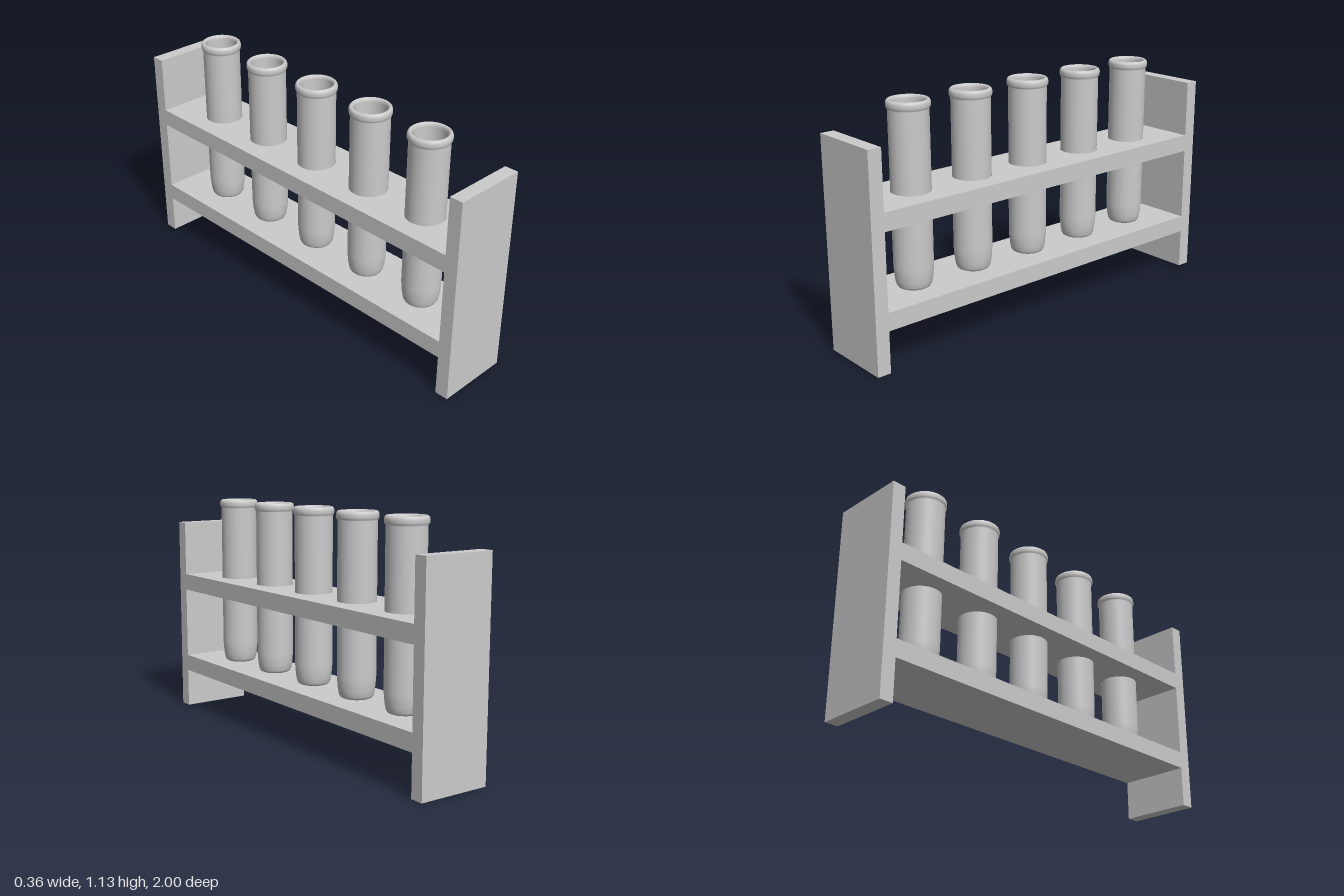
import * as THREE from 'three';

const HALF_WIDTH = 0.178;
const INNER_Z = 0.935;
const TUBE_Z = [-2, -1, 0, 1, 2].map((i) => i * 0.337);

export function createModel() {
  const model = new THREE.Group();
  const material = new THREE.MeshStandardMaterial({ color: 0xcccccc });

  const add = (name, geometry, x, y, z) => {
    const mesh = new THREE.Mesh(geometry, material);
    mesh.name = name;
    mesh.position.set(x, y, z);
    model.add(mesh);
    return mesh;
  };

  // Upright end panels
  const panel = new THREE.BoxGeometry(HALF_WIDTH * 2, 1, 1 - INNER_Z);
  add('frontPanel', panel, 0, 0.5, (1 + INNER_Z) / 2);
  add('backPanel', panel, 0, 0.5, -(1 + INNER_Z) / 2);

  // Solid lower shelf that carries the tubes
  add('lowerShelf', new THREE.BoxGeometry(HALF_WIDTH * 2, 0.084, INNER_Z * 2), 0, 0.238, 0);

  // Upper shelf with a round hole for each tube
  const outline = new THREE.Shape([
    new THREE.Vector2(-HALF_WIDTH, -INNER_Z),
    new THREE.Vector2(HALF_WIDTH, -INNER_Z),
    new THREE.Vector2(HALF_WIDTH, INNER_Z),
    new THREE.Vector2(-HALF_WIDTH, INNER_Z),
  ]);
  for (const z of TUBE_Z) {
    outline.holes.push(new THREE.Path().absarc(0, z, 0.091, 0, Math.PI * 2, true));
  }
  const upper = new THREE.ExtrudeGeometry(outline, {
    depth: 0.084, bevelEnabled: false, curveSegments: 24,
  });
  upper.rotateX(-Math.PI / 2);
  add('upperShelf', upper, 0, 0.64, 0);

  // Hollow tube: rounded foot, straight wall, rolled lip, then down the inside
  const profile = [
    [0, 0], [0.066, 0], [0.074, 0.004], [0.08, 0.014], [0.085, 0.04], [0.088, 0.07], [0.09, 0.1],
    [0.09, 0.808], [0.094, 0.814], [0.097, 0.822], [0.097, 0.836], [0.094, 0.845], [0.088, 0.85],
    [0.082, 0.849], [0.077, 0.843], [0.075, 0.832], [0.075, 0.1], [0.07, 0.045], [0.06, 0.02], [0, 0.015],
  ].map(([r, y]) => new THREE.Vector2(r, y));
  const tube = new THREE.LatheGeometry(profile, 48);
  TUBE_Z.forEach((z, i) => add(`testTube${i + 1}`, tube, 0, 0.28, z));

  return model;
}
